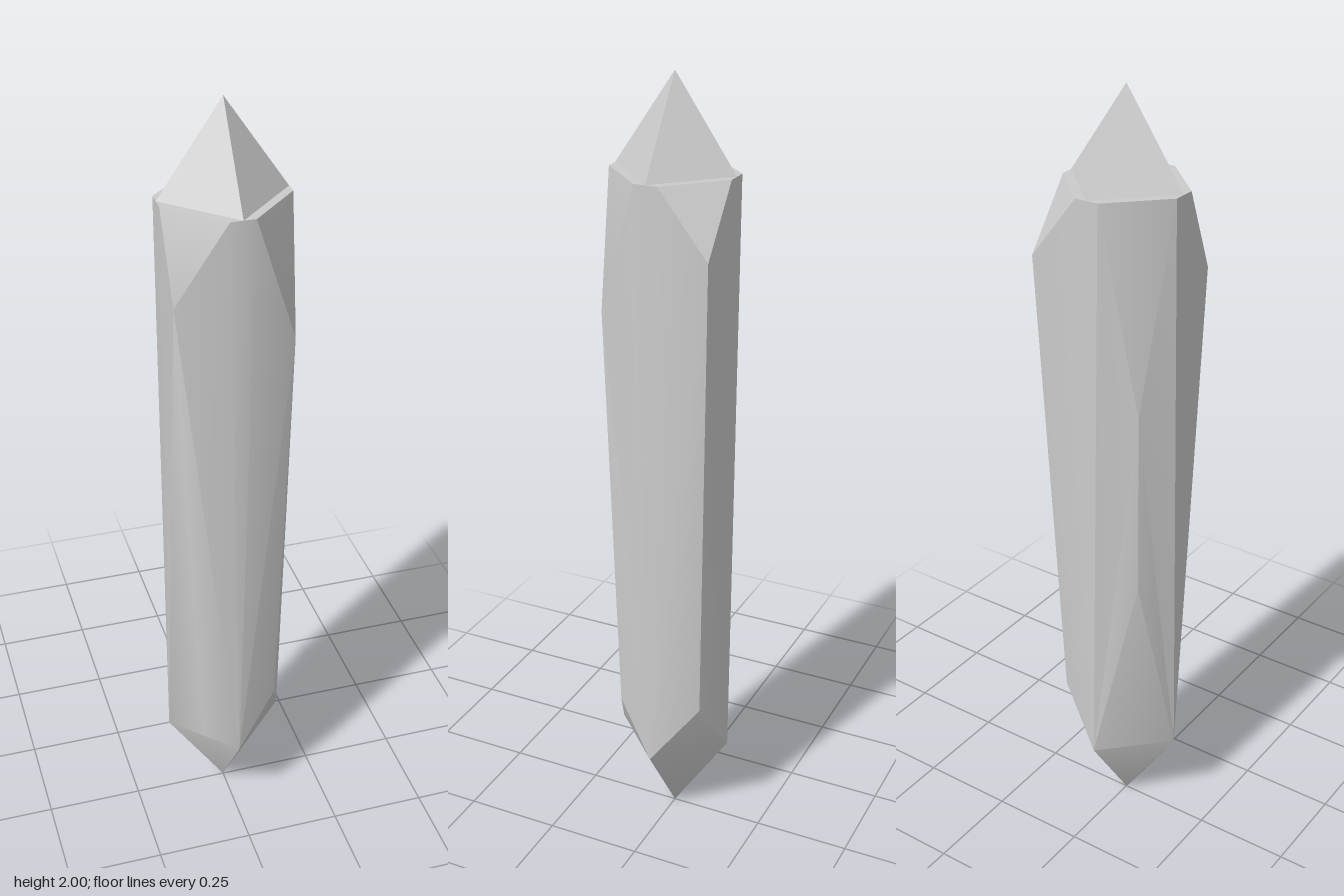
import * as THREE from 'three';
import { toCreasedNormals } from 'three/addons/utils/BufferGeometryUtils.js';

const R = 0.155;         // reach of the four main ridges
const TOP = 1.775;       // height of the upper shoulder
const BASE = 0.235;      // height of the lower shoulder
const NOTCH = 0.03;      // small step beside each ridge

const v = (x, y, z) => new THREE.Vector3(x, y, z);

// Each quadrant: sign of x and z, upper and lower corner of the shaft
const quadrants = [
  { sx: 1, sz: 1, upper: v(0.137, 1.455, 0.125), lower: v(0.112, 0.37, 0.104) },
  { sx: 1, sz: -1, upper: v(0.155, 1.615, -0.155), lower: v(0.11, 0.395, -0.122) },
  { sx: -1, sz: -1, upper: v(-0.11, 1.25, -0.11), lower: v(-0.11, 0.77, -0.11) },
  { sx: -1, sz: 1, upper: v(-0.15, 1.565, 0.117), lower: v(-R / 2, BASE, R / 2) },
];

function crystalGeometry() {
  const positions = [];
  const middle = v(0, 1, 0);

  // Adds a triangle facing away from the crystal's middle, skipping empty ones
  function facet(a, b, c) {
    const normal = b.clone().sub(a).cross(c.clone().sub(a));
    if (normal.length() < 1e-7) return;
    const outward = a.clone().add(b).add(c).divideScalar(3).sub(middle);
    const corners = normal.dot(outward) < 0 ? [a, c, b] : [a, b, c];
    for (const p of corners) positions.push(p.x, p.y, p.z);
  }

  const tip = v(0, 2, 0);
  const foot = v(0, 0, 0);

  for (const { sx, sz, upper, lower } of quadrants) {
    // Ridge ends on the x and z axes, with the step beside each top end
    const sides = [
      { top: v(sx * R, TOP, 0), step: v(sx * R, TOP, sz * NOTCH), base: v(sx * R, BASE, 0) },
      { top: v(0, TOP, sz * R), step: v(sx * NOTCH, TOP, sz * R), base: v(0, BASE, sz * R) },
    ];
    const [a, b] = sides;

    // Upper point and its shoulder
    facet(tip, a.top, b.top);
    facet(a.top, a.step, b.step);
    facet(a.top, b.step, b.top);
    facet(a.step, upper, b.step);

    // Two long sides of the shaft
    for (const s of sides) {
      facet(s.base, s.top, s.step);
      facet(s.base, s.step, upper);
      facet(s.base, upper, lower);
    }

    // Lower point
    facet(foot, a.base, b.base);
    facet(a.base, lower, b.base);
  }

  const geometry = new THREE.BufferGeometry();
  geometry.setAttribute('position', new THREE.Float32BufferAttribute(positions, 3));
  return toCreasedNormals(geometry, THREE.MathUtils.degToRad(24));
}

export function createModel() {
  const group = new THREE.Group();
  group.name = 'crystal';
  const material = new THREE.MeshStandardMaterial({ color: 0xcccccc });
  const shard = new THREE.Mesh(crystalGeometry(), material);
  shard.name = 'crystalShard';
  group.add(shard);
  return group;
}
